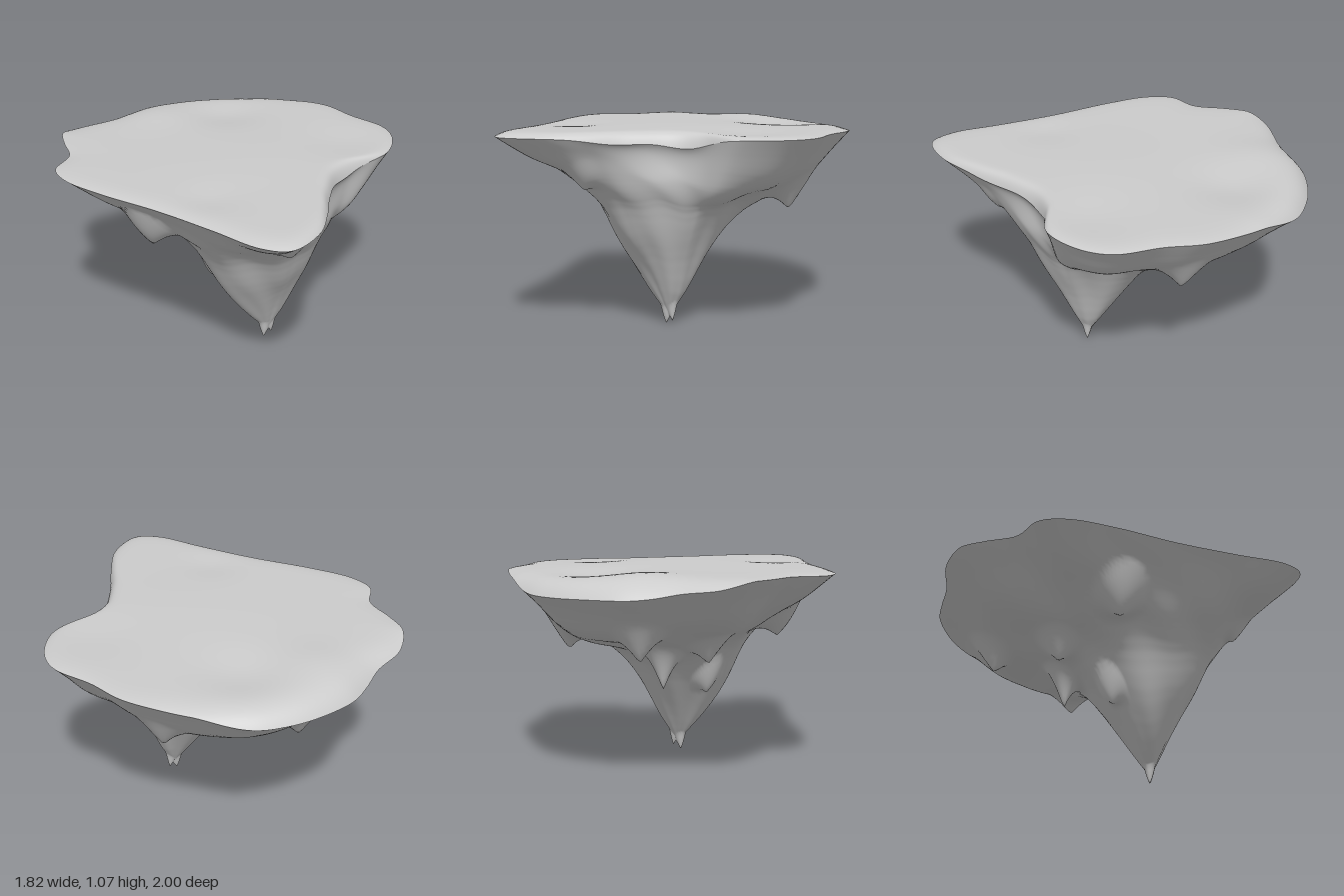
import * as THREE from 'three';

const SEG = 200;                       // divisions around the island
const CX = 0.1, CZ = 0.15;             // vertical axis through the lowest point

// Shoreline seen from above (x, z), starting at the back
const OUTLINE = [
  [-0.14, -0.995], [0.08, -1], [0.25, -0.967], [0.4, -0.905], [0.6, -0.73], [0.79, -0.47], [0.84, -0.25],
  [0.91, -0.03], [0.87, 0.13], [0.72, 0.29], [0.5, 0.33], [0.36, 0.4], [0.22, 0.56], [0.1, 0.74],
  [-0.04, 0.91], [-0.24, 1], [-0.35, 0.92], [-0.47, 0.67], [-0.62, 0.37], [-0.8, 0.07], [-0.9, -0.15],
  [-0.9, -0.3], [-0.78, -0.43], [-0.75, -0.6], [-0.71, -0.74], [-0.6, -0.84], [-0.4, -0.89], [-0.28, -0.945],
];

// Underside heights from the axis out to the shore, in four directions
const STEPS = [0, 0.05, 0.1, 0.2, 0.3, 0.4, 0.5, 0.6, 0.7, 0.8, 0.9, 1];
const SIDES = [
  { reach: 0.8, y: [0.05, 0.11, 0.17, 0.38, 0.54, 0.67, 0.71, 0.75, 0.79, 0.86, 0.95, 1.03] },   // +x
  { reach: 0.87, y: [0.05, 0.13, 0.23, 0.39, 0.52, 0.68, 0.76, 0.83, 0.88, 0.93, 0.98, 1.03] },  // front
  { reach: 1.0, y: [0.05, 0.1, 0.15, 0.28, 0.43, 0.62, 0.72, 0.78, 0.85, 0.91, 0.97, 1.03] },    // -x
  { reach: 1.15, y: [0.05, 0.13, 0.22, 0.38, 0.53, 0.61, 0.65, 0.68, 0.71, 0.77, 0.87, 0.95] },  // back
];

// Hanging rock points: x, z, tip height, radius, sharpness
const SPIKES = [
  [0.08, 0.15, 0, 0.03, 1], [0.125, 0.15, 0.02, 0.025, 1],
  [-0.03, 0.62, 0.76, 0.12, 1.8], [0.5, -0.35, 0.61, 0.16, 1.8],
  [-0.09, -0.68, 0.615, 0.15, 1.8], [-0.03, -0.3, 0.415, 0.13, 1.8],
  [-0.28, -0.29, 0.57, 0.14, 1.7], [-0.15, -0.02, 0.37, 0.09, 1],
  [-0.52, 0.06, 0.69, 0.15, 1],
];

const { lerp, smoothstep, clamp } = THREE.MathUtils;
const bump = (x, z, bx, bz, w) => Math.exp(-((x - bx) ** 2 + (z - bz) ** 2) / (w * w));

// Shore height: droops at the back, in the bay and along its front bank
const rimHeight = (x, z) => 1.042 - 0.092 * smoothstep(-z, 0.72, 1)
  - 0.055 * bump(x, z, 0.43, 0.37, 0.16) - 0.035 * bump(x, z, 0.2, 0.6, 0.2)
  - 0.03 * bump(x, z, 0.55, -0.78, 0.25);

function sample(list, t) {
  let k = 0;
  while (k < STEPS.length - 2 && t > STEPS[k + 1]) k++;
  const u = (t - STEPS[k]) / (STEPS[k + 1] - STEPS[k]);
  return lerp(list[k], list[k + 1], u);
}

// Profile height with its corners softened
function profile(list, t) {
  const s = clamp(Math.min(t, 1 - t), 0, 0.04);
  return (sample(list, t - s) + 2 * sample(list, t) + sample(list, t + s)) / 4;
}

// Underside point at fraction t between the axis and shore point p
function underside(p, t) {
  const dx = p.x - CX, dz = p.z - CZ, R = Math.hypot(dx, dz);
  const a = Math.atan2(dz, dx);
  const q = ((a / (Math.PI / 2)) + 4) % 4;
  const k = Math.floor(q) % 4, w = smoothstep(q - Math.floor(q), 0, 1);
  const A = SIDES[k], B = SIDES[(k + 1) % 4];
  const reach = lerp(A.reach, B.reach, w);
  const r = t * lerp(reach, R, smoothstep(t, 0.1, 1));
  const end = lerp(A.y[11], B.y[11], w);
  let y = lerp(profile(A.y, t), profile(B.y, t), w);
  y += (rimHeight(p.x, p.z) - end) * t ** 6;
  // gentle weathering, fading out at the tip and the shore
  const fade = 4 * t * (1 - t);
  y += fade * (0.01 * Math.sin(5 * a + 7 * t) + 0.006 * Math.sin(9 * a - 16 * t));
  const x = CX + dx / R * r, z = CZ + dz / R * r;
  for (const [sx, sz, tip, rad, sharp] of SPIKES) {
    const d = Math.hypot(x - sx, z - sz);
    if (d < rad) y -= Math.max(0, y - tip) * (1 - d / rad) ** sharp;
  }
  return [x, y, z];
}

// Gently rolling top at fraction t between the axis and shore point p
function topside(p, t) {
  const x = lerp(CX, p.x, t), z = lerp(CZ, p.z, t);
  const roll = 0.014 * bump(x, z, -0.15, -0.75, 0.18) - 0.025 * bump(x, z, 0.22, -0.6, 0.2)
    - 0.012 * bump(x, z, 0.6, 0.1, 0.2) + 0.012 * bump(x, z, 0.1, 0.1, 0.4)
    - 0.012 * bump(x, z, -0.35, 0.4, 0.15);
  const y = lerp(1.06 + 0.013 * z + roll, rimHeight(p.x, p.z), t ** 18);
  return [x, y, z];
}

// Concentric rings of points joined into one smooth skin
function ringSkin(name, shore, rings, spread, place, faceUp) {
  const pos = [...place(shore[0], 0)], index = [];
  const id = (i, j) => (i === 0 ? 0 : 1 + (i - 1) * SEG + (j % SEG));
  for (let i = 1; i <= rings; i++) {
    for (let j = 0; j < SEG; j++) pos.push(...place(shore[j], spread(i / rings)));
  }
  const tri = (a, b, c) => (faceUp ? index.push(a, c, b) : index.push(a, b, c));
  for (let i = 0; i < rings; i++) {
    for (let j = 0; j < SEG; j++) {
      tri(id(i, j), id(i + 1, j), id(i + 1, j + 1));
      if (i > 0) tri(id(i, j), id(i + 1, j + 1), id(i, j + 1));
    }
  }
  const geo = new THREE.BufferGeometry();
  geo.setAttribute('position', new THREE.Float32BufferAttribute(pos, 3));
  geo.setIndex(index);
  geo.computeVertexNormals();
  const mesh = new THREE.Mesh(geo, new THREE.MeshStandardMaterial({ color: 0xcccccc }));
  mesh.name = name;
  return mesh;
}

export function createModel() {
  const group = new THREE.Group();
  group.name = 'floatingIsland';
  const curve = new THREE.CatmullRomCurve3(OUTLINE.map(([x, z]) => new THREE.Vector3(x, 0, z)), true);
  const shore = curve.getSpacedPoints(SEG).slice(0, SEG);
  group.add(ringSkin('rockUnderside', shore, 90, (s) => s ** 1.3, underside, false));
  // rings crowd towards the shore for a rounded lip
  group.add(ringSkin('groundTop', shore, 36, (s) => 1 - (1 - s) ** 1.6, topside, true));
  return group;
}
